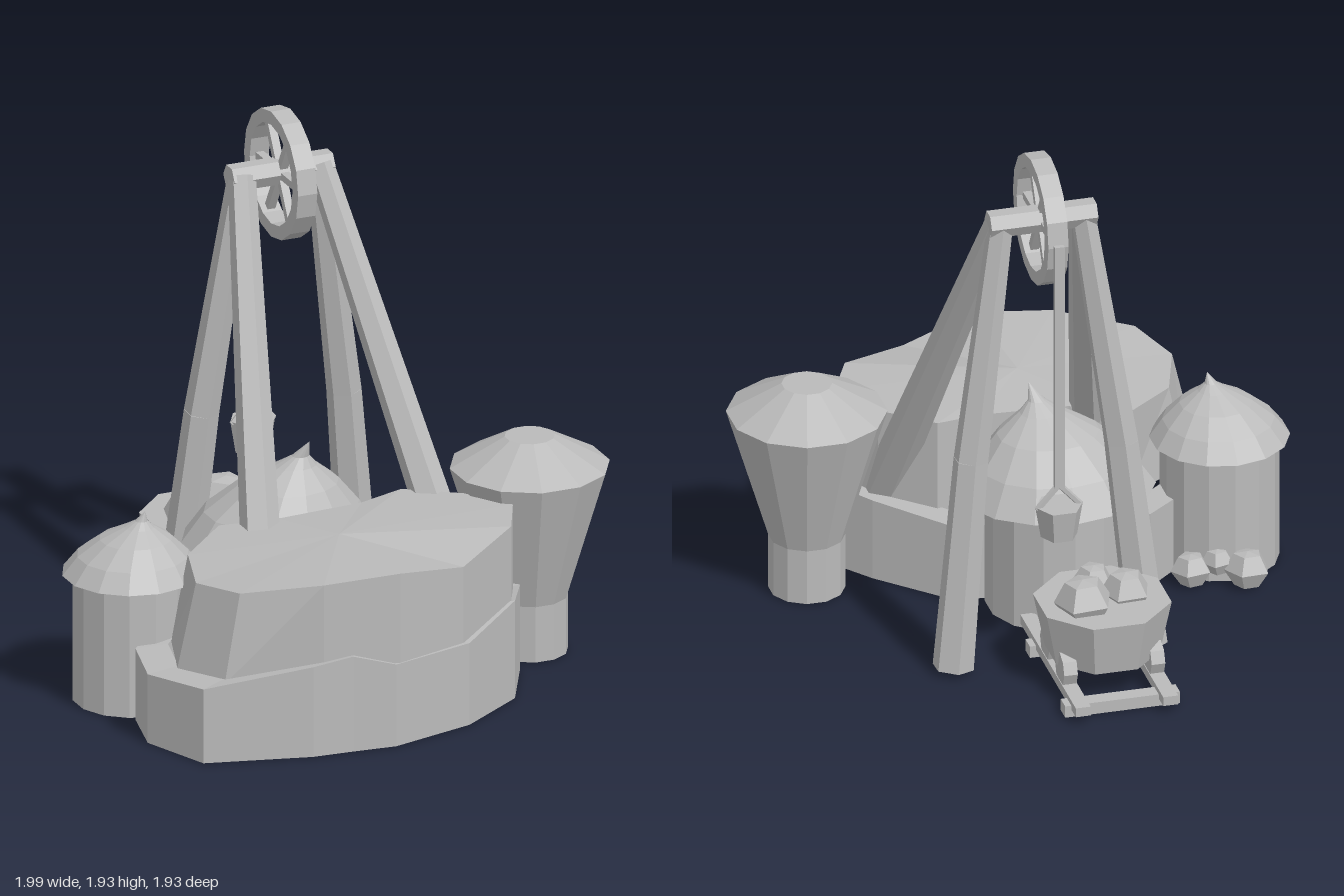
import * as THREE from 'three';

const stone = new THREE.MeshStandardMaterial({ color: 0xbababa, flatShading: true, side: THREE.DoubleSide });
stone.name = 'light grey';

export function createModel() {
  const model = new THREE.Group();
  model.name = 'mineCamp';

  function add(name, geometry, x = 0, y = 0, z = 0, parent = model) {
    const mesh = new THREE.Mesh(geometry, stone);
    mesh.name = name;
    mesh.position.set(x, y, z);
    parent.add(mesh);
    return mesh;
  }

  // Tapered bar between two points
  function bar(name, from, to, r0, r1, sides = 6) {
    const a = new THREE.Vector3(...from), b = new THREE.Vector3(...to);
    const dir = b.clone().sub(a);
    const mesh = add(name, new THREE.CylinderGeometry(r1, r0, dir.length(), sides));
    mesh.position.copy(a).add(b).multiplyScalar(0.5);
    mesh.quaternion.setFromUnitVectors(new THREE.Vector3(0, 1, 0), dir.normalize());
  }

  // Open-bottomed rock: wall around an outline of [x, z, topY], leaning in at the left,
  // then a cap reaching the given share of the way to the centre
  function rock(name, outline, baseY, centre, lean, reach) {
    const pos = [];
    const n = outline.length;
    const low = ([x, z]) => [x, baseY, z];
    const high = ([x, z, y]) => {
      const t = x < -0.6 ? lean : 0;
      return [x + (centre[0] - x) * t, y, z + (centre[2] - z) * t * 0.3];
    };
    const inner = (p) => high(p).map((v, i) => v + (centre[i] - v) * reach);
    for (let i = 0; i < n; i++) {
      const p = outline[i], q = outline[(i + 1) % n];
      pos.push(...low(p), ...low(q), ...high(q), ...low(p), ...high(q), ...high(p));
      pos.push(...high(p), ...high(q), ...inner(q));
      if (reach < 1) pos.push(...high(p), ...inner(q), ...inner(p));
    }
    const g = new THREE.BufferGeometry();
    g.setAttribute('position', new THREE.Float32BufferAttribute(pos, 3));
    g.computeVertexNormals();
    add(name, g);
  }

  // Two stepped rocks; the lower one ends in a ledge, the upper one in a fan
  rock('lowerRock', [
    [-0.88, 0.58, 0.26], [-0.78, 0.84, 0.28], [-0.4, 0.94, 0.34], [-0.25, 0.95, 0.36], [-0.09, 0.965, 0.31],
    [0.23, 0.88, 0.31], [0.48, 0.71, 0.37], [0.61, 0.46, 0.32], [0.48, 0.29, 0.31],
    [0.24, 0.05, 0.29], [-0.2, 0.02, 0.29], [-0.45, -0.03, 0.29], [-0.62, 0.12, 0.28], [-0.83, 0.36, 0.27],
  ], 0, [-0.11, 0.32, 0.51], 0, 0.16);
  rock('upperRock', [
    [-0.77, 0.59, 0.58], [-0.68, 0.8, 0.6], [-0.35, 0.92, 0.635], [-0.07, 0.955, 0.648],
    [0.21, 0.87, 0.598], [0.47, 0.7, 0.65], [0.56, 0.51, 0.65], [0.45, 0.33, 0.645], [0.27, 0.19, 0.64],
    [0.1, 0.23, 0.63], [-0.22, 0.23, 0.62], [-0.42, 0.16, 0.6], [-0.68, 0.33, 0.585],
  ], 0.27, [-0.11, 0.645, 0.51], 0.11, 1);

  // Round huts: wall and pointed dome whose tip leans to one side
  function hut(name, x, z, wall, wallH, rx, rz, roofH, lean) {
    const g = new THREE.Group();
    g.name = name;
    g.position.set(x, 0, z);
    model.add(g);
    add('hutWall', new THREE.CylinderGeometry(wall, wall, wallH + 0.02, 14, 1, true), 0, wallH / 2 + 0.01, 0, g);
    const profile = [[0.75, 0.14], [1, 0], [0.8, 0.29], [0.52, 0.55], [0.22, 0.74], [0.09, 0.84], [0, 1]]
      .map(([r, y]) => new THREE.Vector2(r, y));
    const roof = new THREE.LatheGeometry(profile, 14);
    const p = roof.attributes.position;
    for (let i = 0; i < p.count; i++) {
      const t = p.getY(i);
      p.setXYZ(i, p.getX(i) * rx + lean[0] * t * t, t * roofH, p.getZ(i) * rz + lean[1] * t * t);
    }
    roof.computeVertexNormals();
    add('hutRoof', roof, 0, wallH, 0, g);
  }
  hut('leftHut', -0.75, 0.145, 0.212, 0.475, 0.25, 0.245, 0.235, [0.035, 0.04]);
  hut('middleHut', -0.105, -0.03, 0.255, 0.45, 0.355, 0.3, 0.375, [0.075, 0.1]);

  // Hopper silo: neck, flared bin and capped roof in one profile
  const silo = add('hopper', new THREE.LatheGeometry(
    [[0.137, 0], [0.137, 0.21], [0.286, 0.7], [0.09, 0.81], [0, 0.81]].map(([r, y]) => new THREE.Vector2(r, y)), 12,
  ), 0.72, 0, 0.295);
  silo.rotation.y = Math.PI / 12;

  // Headframe: straight front legs running down into the rock, slightly bowed rear legs and a crossbeam
  const cx = 0.035, top = 1.69, cz = -0.33;
  for (const s of [-1, 1]) {
    bar('frontLeg', [cx + s * 0.42, 0.06, 0.515], [cx + s * 0.15, top + 0.01, cz], 0.082, 0.05);
    const knee = [cx + s * 0.275, 0.8, -0.4];
    bar('rearLegLower', [cx + s * 0.355, 0.012, -0.455], knee, 0.075, 0.063);
    bar('rearLegUpper', knee, [cx + s * 0.15, top + 0.01, cz - 0.01], 0.063, 0.046);
  }
  bar('crossbeam', [-0.16, 1.695, -0.34], [0.23, 1.695, -0.34], 0.05, 0.05);

  // Winding wheel
  const wheel = new THREE.Group();
  wheel.name = 'windingWheel';
  wheel.position.set(cx, top, cz);
  model.add(wheel);
  const rim = new THREE.LatheGeometry(
    [[0.187, -0.037], [0.237, -0.037], [0.237, 0.037], [0.187, 0.037], [0.187, -0.037]]
      .map(([r, y]) => new THREE.Vector2(r, y)), 16,
  );
  add('wheelRim', rim, 0, 0, 0, wheel).rotation.z = Math.PI / 2;
  for (let i = 0; i < 3; i++) {
    add('wheelSpoke', new THREE.BoxGeometry(0.03, 0.027, 0.4), 0, 0, 0, wheel).rotation.x = i * Math.PI / 3;
  }

  // Rope, bail and bucket
  const rz = -0.573;
  add('rope', new THREE.BoxGeometry(0.036, 0.96, 0.022), cx, 1.22, rz);
  for (const s of [-1, 1]) bar('bucketBail', [cx, 0.75, rz], [cx + s * 0.08, 0.66, rz], 0.012, 0.012, 5);
  const bucket = add('bucket', new THREE.CylinderGeometry(0.087, 0.067, 0.12, 6), cx, 0.61, rz);
  bucket.rotation.y = Math.PI / 6;

  // Track
  const tx = -0.105;
  for (const s of [-1, 1]) {
    add('rail', new THREE.BoxGeometry(0.055, 0.035, 0.74), tx + s * 0.16, 0.047, -0.6);
  }
  for (const z of [-0.88, -0.41]) add('railTie', new THREE.BoxGeometry(0.42, 0.045, 0.06), tx, 0.023, z);

  // Ore cart: eight-sided tub on four wheels
  const tub = add('cartTub', new THREE.CylinderGeometry(0.247, 0.205, 0.2, 8), tx, 0.213, -0.64);
  tub.rotation.y = Math.PI / 8;
  for (const s of [-1, 1]) {
    for (const z of [-0.745, -0.545]) {
      const w = add('cartWheel', new THREE.CylinderGeometry(0.062, 0.062, 0.05, 8), tx + s * 0.16, 0.11, z);
      w.rotation.z = Math.PI / 2;
    }
  }

  // Five-sided ore lumps in the cart and beside the left hut
  const lumpProfile = [[0, -0.7], [0.55, -0.7], [1, 0], [0.6, 0.7], [0, 0.8]].map(([r, y]) => new THREE.Vector2(r, y));
  const lumps = [
    [-0.025, 0.335, -0.69, 0.108], [-0.195, 0.325, -0.63, 0.092], [-0.1, 0.33, -0.535, 0.075],
    [-0.785, 0.06, -0.1, 0.085], [-0.595, 0.055, -0.045, 0.075], [-0.69, 0.08, -0.05, 0.06],
  ];
  lumps.forEach(([x, y, z, r], i) => {
    const lump = add('oreLump', new THREE.LatheGeometry(lumpProfile, 5), x, y, z);
    lump.scale.setScalar(r);
    lump.rotation.set(0.05, i * 1.3, -0.05);
  });

  return model;
}
